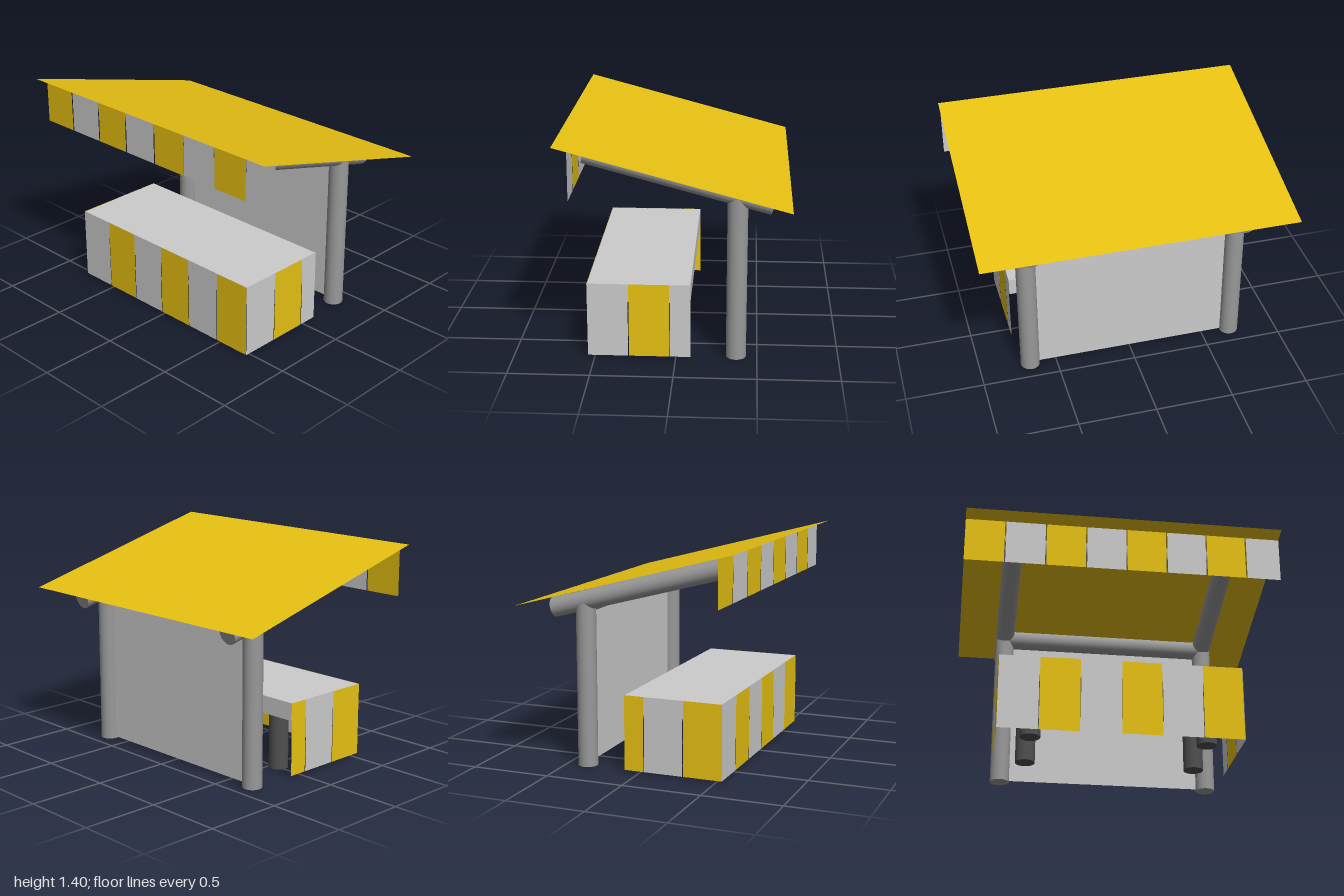
import * as THREE from 'three';

const mat = (color) => new THREE.MeshStandardMaterial({ color, side: THREE.DoubleSide });
const grey = mat(0xcccccc);
const yellow = mat(0xe7c112);
const poleGrey = mat(0x999999);
const legGrey = mat(0x505050);

export function createModel() {
  const stall = new THREE.Group();
  stall.name = 'marketStall';

  const add = (name, geometry, material = grey, parent = stall) => {
    const mesh = new THREE.Mesh(geometry, material);
    mesh.name = name;
    parent.add(mesh);
    return mesh;
  };

  // Round pole between two points
  const rod = (name, from, to, material = poleGrey) => {
    const a = new THREE.Vector3(...from), b = new THREE.Vector3(...to);
    const dir = b.clone().sub(a);
    const mesh = add(name, new THREE.CylinderGeometry(0.062, 0.062, dir.length(), 32), material);
    mesh.position.copy(a).add(b).multiplyScalar(0.5);
    mesh.quaternion.setFromUnitVectors(new THREE.Vector3(0, 1, 0), dir.normalize());
  };

  // Row of hanging cloth strips in alternating colours, running along local +x
  const strips = (name, { length, pitch, width, y0, y1, firstYellow }) => {
    const row = new THREE.Group();
    row.name = name;
    stall.add(row);
    for (let i = 0; i * pitch < length - 0.02; i++) {
      const w = Math.min(width, length - i * pitch);
      const material = (i % 2 === 0) === firstYellow ? yellow : grey;
      const strip = add('clothStrip', new THREE.PlaneGeometry(w, y1 - y0), material, row);
      strip.position.set(i * pitch + w / 2, (y0 + y1) / 2, 0);
    }
    return row;
  };

  const left = 0.672, right = -0.69, backZ = -0.37;

  // Frame: back posts, sloping rafters and two cross beams
  for (const x of [left, right]) {
    rod('backPost', [x, 0, backZ], [x, 1.03, backZ]);
    rod('rafter', [x, 0.985, -0.583], [x, 1.288, 0.547]);
  }
  rod('backBeam', [right, 1.025, backZ], [left, 1.025, backZ]);
  rod('frontBeam', [right, 1.274, 0.46], [left, 1.274, 0.46]);

  // Back wall sheet
  const wall = add('backWall', new THREE.PlaneGeometry(left - right, 1.02));
  wall.position.set((left + right) / 2, 0.52, backZ);

  // Canopy sheet, high at the front and low at the back
  const slope = Math.atan2(0.37, 1.38);
  const roof = add('canopy', new THREE.PlaneGeometry(2, 1.38 / Math.cos(slope)), yellow);
  roof.rotation.x = -Math.PI / 2 - slope;
  roof.position.y = 1.22;

  // Valance hanging under the front of the canopy
  strips('valance', { length: 2, pitch: 0.255, width: 0.247, y0: 1.09, y1: 1.38, firstYellow: true })
    .position.set(-1, 0, 0.6);

  // Counter slab and legs
  const top = add('counterTop', new THREE.BoxGeometry(1.487, 0.114, 0.628));
  top.position.set(-0.0075, 0.427, 0.224);
  for (const x of [0.52, -0.55]) {
    for (const z of [0.442, 0.01]) rod('counterLeg', [x, 0, z], [x, 0.38, z], legGrey);
  }

  // Cloth skirt around the front and both ends of the counter
  const skirt = { width: 0.245, y0: 0.014, y1: 0.485 };
  strips('frontSkirt', { ...skirt, length: 1.494, pitch: 0.249, firstYellow: false })
    .position.set(-0.755, 0, 0.541);
  for (const [name, x, firstYellow] of [['leftSkirt', 0.739, false], ['rightSkirt', -0.755, true]]) {
    const side = strips(name, { ...skirt, length: 0.633, pitch: 0.254, width: 0.249, firstYellow });
    side.position.set(x, 0, 0.541);
    side.rotation.y = Math.PI / 2;
  }

  return stall;
}
